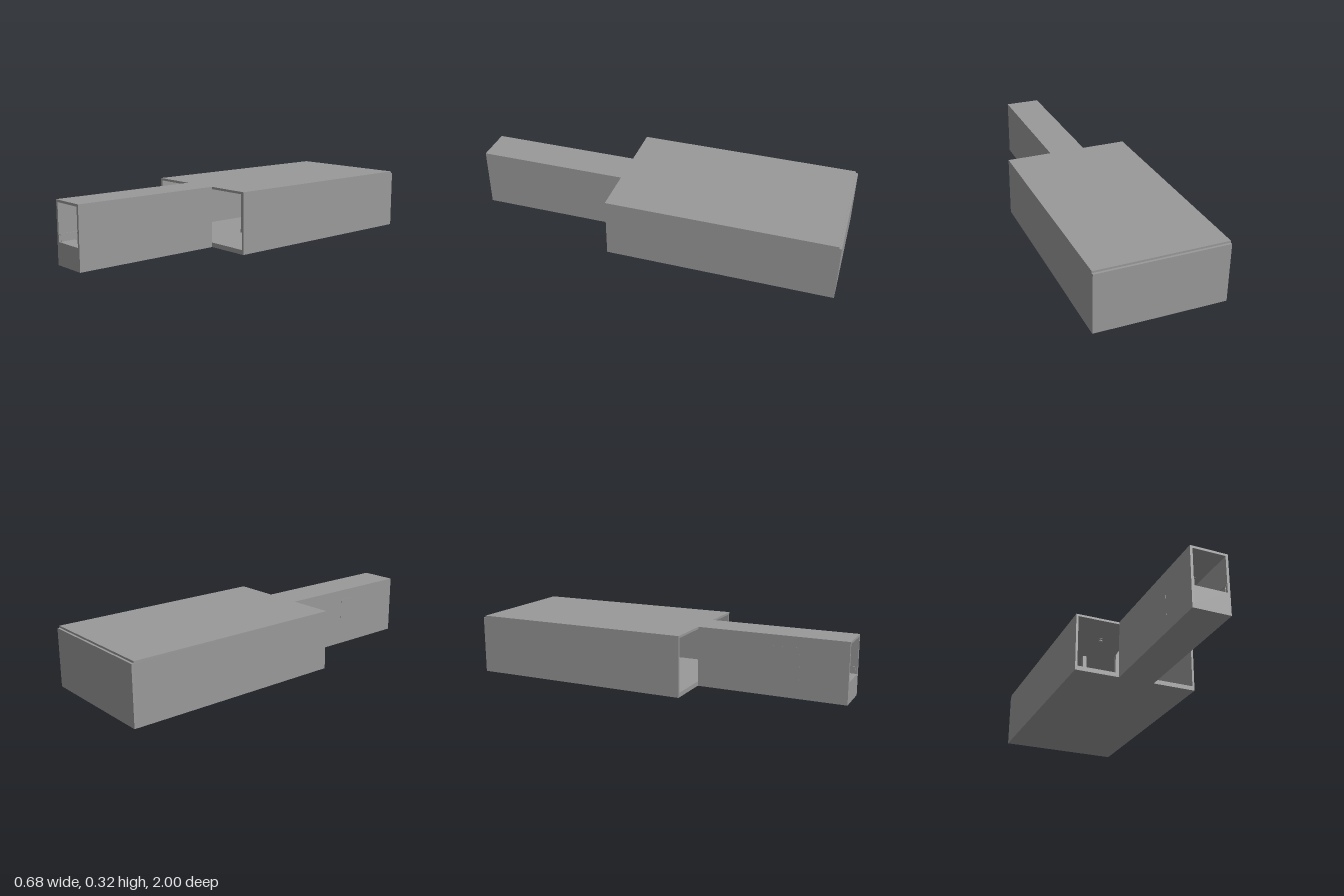
import * as THREE from 'three';

export function createModel() {
  const model = new THREE.Group();
  const grey = new THREE.MeshStandardMaterial({ color: 0x999999 });
  grey.name = 'concrete grey';

  const add = (name, geometry) => {
    const mesh = new THREE.Mesh(geometry, grey);
    mesh.name = name;
    model.add(mesh);
    return mesh;
  };
  // box given by its lower and upper limits on each axis
  const box = (name, x0, x1, y0, y1, z0, z1) => {
    const g = new THREE.BoxGeometry(x1 - x0, y1 - y0, z1 - z0);
    g.translate((x0 + x1) / 2, (y0 + y1) / 2, (z0 + z1) / 2);
    return add(name, g);
  };
  const extrude = (points, depth) => new THREE.ExtrudeGeometry(
    new THREE.Shape(points.map(([x, y]) => new THREE.Vector2(x, y))),
    { depth, bevelEnabled: false });

  // hall: a hollow shell, open at the front on both sides of the corridor
  box('hallFloor', -0.34, 0.34, 0, 0.024, -0.988, 0.2);
  box('hallRoof', -0.34, 0.34, 0.308, 0.32, -0.988, 0.2);
  for (const s of [-1, 1]) {
    box('hallSideWall', Math.min(s * 0.328, s * 0.34), Math.max(s * 0.328, s * 0.34), 0.024, 0.308, -0.988, 0.2);
  }
  box('hallBackWall', -0.34, 0.34, 0, 0.31, -1, -0.988);
  box('backWallPanel', -0.31, 0.31, 0.04, 0.293, -0.988, -0.983);

  // corridor shell
  box('corridorRoof', -0.098, 0.098, 0.308, 0.32, 0.2, 1);
  box('corridorBase', -0.098, 0.098, 0, 0.024, 0.2, 1);
  for (const s of [-1, 1]) {
    box('corridorWall', Math.min(s * 0.085, s * 0.098), Math.max(s * 0.085, s * 0.098), 0.024, 0.308, 0.2, 1);
  }
  box('corridorDoor', -0.0985, -0.083, 0.088, 0.264, 0.57, 0.75);

  // raised entrance landing and steps down to the hall floor
  box('entranceLanding', -0.085, 0.085, 0.024, 0.115, 0.81, 1);
  const steps = 5;
  for (let i = 0; i < steps; i++) {
    const z = 0.81 - i * 0.032;
    box('step', -0.085, 0.085, 0.024, 0.115 - (i + 1) * 0.0152, z - 0.032, z);
  }

  // handrails following the landing and the steps, with posts
  const rail = [[1, 0.155], [0.81, 0.155], [0.65, 0.064], [0.65, 0.06], [0.81, 0.151], [1, 0.151]];
  for (const s of [-1, 1]) {
    const g = extrude(rail.map(([z, y]) => [-z, y]), 0.004);
    g.rotateY(Math.PI / 2);
    g.translate(s * 0.079 - 0.002, 0, 0);
    add('handrail', g);
    for (const z of [0.99, 0.9, 0.815]) {
      box('handrailPost', s * 0.079 - 0.0015, s * 0.079 + 0.0015, 0.115, 0.153, z - 0.002, z + 0.002);
    }
  }

  // one straight pillar, and one that leans over below the roof
  box('straightPillar', -0.137, -0.115, 0.024, 0.308, -0.255, -0.233);
  const bent = extrude([[0.005, 0.024], [0.031, 0.024], [0.031, 0.272], [0.064, 0.308],
    [0.026, 0.308], [0.005, 0.272]], 0.024);
  bent.translate(0, 0, -0.113);
  add('bentPillar', bent);

  // rows of ceiling lamps
  for (const x of [-0.123, 0, 0.123]) {
    for (const z of [-0.8, -0.4, 0]) {
      const bulb = new THREE.SphereGeometry(0.011, 16, 10);
      bulb.scale(1, 0.73, 1);
      add('lampBulb', bulb).position.set(x, 0.295, z);
      add('lampPlate', new THREE.CylinderGeometry(0.011, 0.011, 0.003, 16)).position.set(x, 0.3065, z);
      add('lampStem', new THREE.CylinderGeometry(0.003, 0.003, 0.006, 8)).position.set(x, 0.304, z);
    }
  }
  return model;
}
